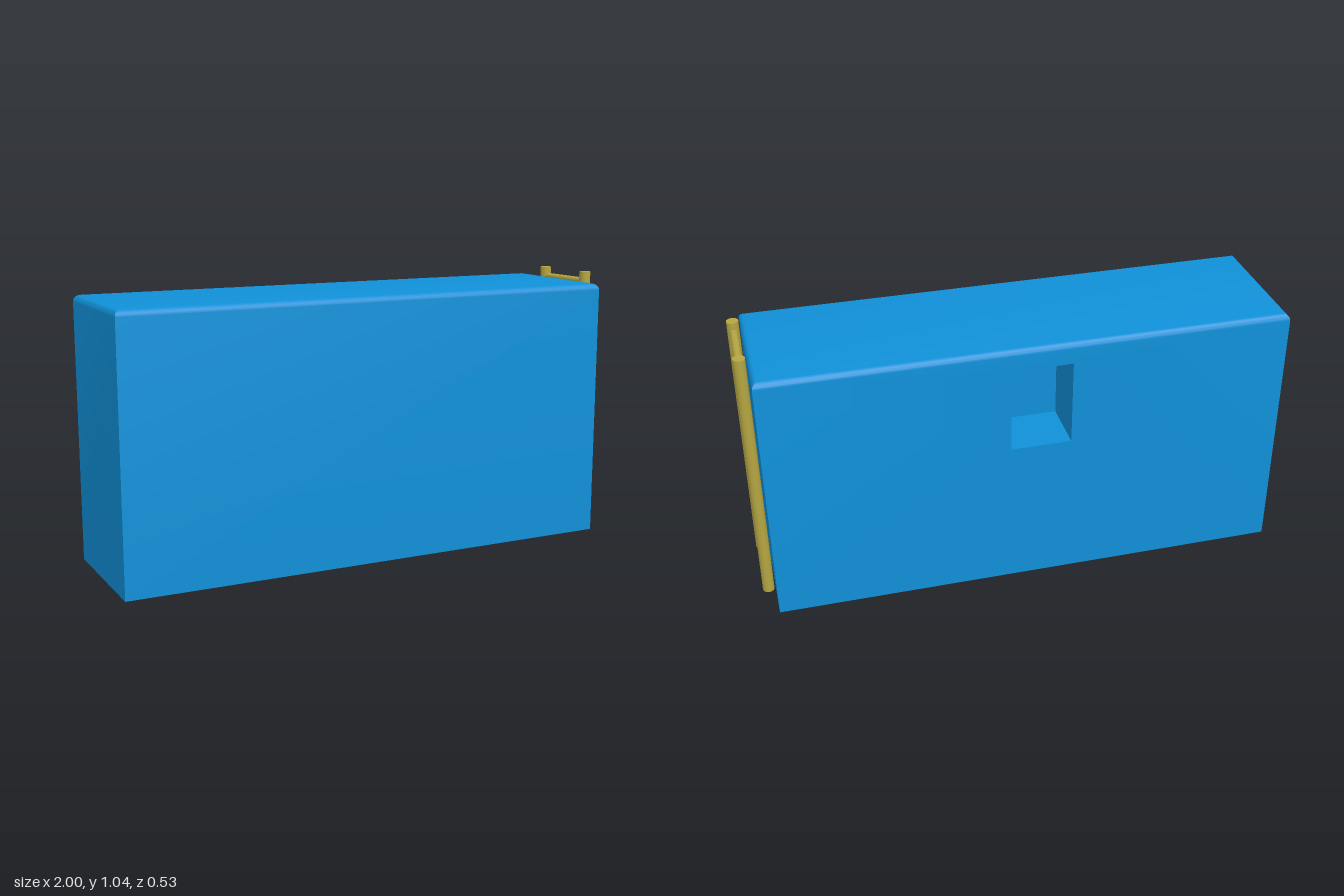
import * as THREE from 'three';
import { toCreasedNormals } from 'three/addons/utils/BufferGeometryUtils.js';

const blue = new THREE.MeshStandardMaterial({ color: 0x1090d8 });
const brass = new THREE.MeshStandardMaterial({ color: 0xb5a642 });

const X0 = -1, X1 = 0.95, HALF = 0.265, TOP = 1, R = 0.025;

// Solid block with a rounded top rim and a recess in the back wall
function createBlock() {
  const pos = [];
  const quad = (a, b, c, d) => pos.push(...a, ...b, ...c, ...a, ...c, ...d);
  const band = (lo, hi, skip = -1) => {
    for (let i = 0; i < 4; i++) {
      const j = (i + 1) % 4;
      if (i !== skip) quad(lo[i], lo[j], hi[j], hi[i]);
    }
  };
  // Horizontal outline, shrunk by an inset
  const level = (y, s) => [
    [X0 + s, y, HALF - s], [X1 - s, y, HALF - s],
    [X1 - s, y, -HALF + s], [X0 + s, y, -HALF + s],
  ];
  // Upright rectangle facing the back
  const upright = (xa, xb, ya, yb, z) => [[xb, ya, z], [xa, ya, z], [xa, yb, z], [xb, yb, z]];

  // Floor and straight walls (back wall is built around the recess)
  const base = level(0, 0);
  quad(...[...base].reverse());
  let ring = level(TOP - R, 0);
  band(base, ring, 2);

  // Rounded rim and flat top
  const steps = 5;
  for (let k = 1; k <= steps; k++) {
    const a = (k / steps) * Math.PI / 2;
    const next = level(TOP - R + R * Math.sin(a), R * (1 - Math.cos(a)));
    band(ring, next);
    ring = next;
  }
  quad(...ring);

  // Back wall with its recess
  const opening = upright(-0.175, 0.054, 0.585, 0.915, -HALF);
  const inner = upright(-0.175, 0.054, 0.585, 0.915, -HALF + 0.21);
  band(upright(X0, X1, 0, TOP - R, -HALF), opening);
  band(opening, inner);
  quad(...inner);

  const geo = new THREE.BufferGeometry();
  geo.setAttribute('position', new THREE.Float32BufferAttribute(pos, 3));
  const mesh = new THREE.Mesh(toCreasedNormals(geo, 0.5), blue);
  mesh.name = 'block';
  return mesh;
}

// Ladder of two round rails and thirteen rungs, leaning very slightly
function createLadder() {
  const ladder = new THREE.Group();
  ladder.name = 'ladder';
  const railGeo = new THREE.CylinderGeometry(0.022, 0.022, 1.02, 24);
  const rungGeo = new THREE.CylinderGeometry(0.014, 0.014, 0.236, 20).rotateX(Math.PI / 2);

  for (const side of [1, -1]) {
    const rail = new THREE.Mesh(railGeo, brass);
    rail.name = side > 0 ? 'frontRail' : 'backRail';
    rail.position.z = side * 0.1355;
    ladder.add(rail);
  }
  const rungs = 13;
  for (let i = 0; i < rungs; i++) {
    const rung = new THREE.Mesh(rungGeo, brass);
    rung.name = `rung${i + 1}`;
    rung.position.y = -0.47 + (0.941 * i) / (rungs - 1);
    ladder.add(rung);
  }
  ladder.position.set(0.977, 0.525, 0);
  ladder.rotation.x = -0.005;
  return ladder;
}

export function createModel() {
  const model = new THREE.Group();
  model.name = 'blockWithLadder';
  model.add(createBlock(), createLadder());
  return model;
}
